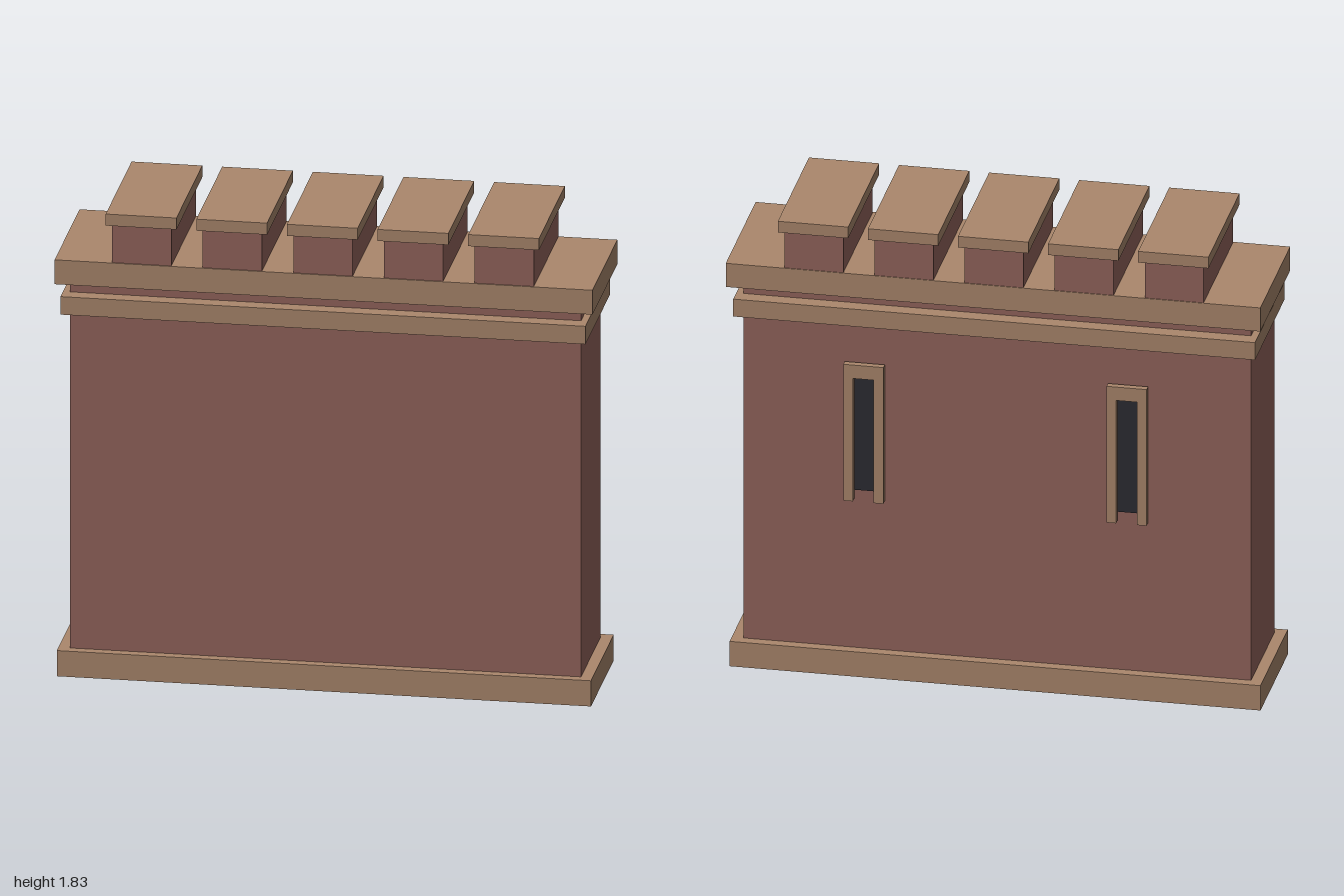
import * as THREE from 'three';

export function createModel() {
  const model = new THREE.Group();
  model.name = 'battlementWall';

  const mat = (name, color) => {
    const m = new THREE.MeshStandardMaterial({ color });
    m.name = name;
    return m;
  };
  const brick = mat('brick', 0x94655d);
  const stone = mat('stone', 0xab886d);
  const dark = mat('dark opening', 0x2c2d33);

  // Box from centre x, bottom and top y, centre z, width and depth
  const box = (parent, name, material, x, y0, y1, z, w, d) => {
    const mesh = new THREE.Mesh(new THREE.BoxGeometry(w, y1 - y0, d), material);
    mesh.position.set(x, (y0 + y1) / 2, z);
    mesh.name = name;
    parent.add(mesh);
  };

  const cx = -0.003;

  // Wall body with base and the two mouldings
  box(model, 'plinth', stone, cx, 0, 0.1, 0, 1.986, 0.506);
  box(model, 'wall', brick, cx, 0.1, 1.54, 0.002, 1.9, 0.43);
  box(model, 'stringCourse', stone, cx, 1.418, 1.488, 0.002, 1.952, 0.544);
  box(model, 'cornice', stone, 0, 1.537, 1.632, 0.002, 2, 0.554);

  // Row of capped merlons
  for (let i = -2; i <= 2; i++) {
    const merlon = new THREE.Group();
    merlon.name = 'merlon';
    merlon.position.x = cx + i * 0.337;
    box(merlon, 'merlonBlock', brick, 0, 1.632, 1.78, 0.001, 0.22, 0.546);
    box(merlon, 'merlonCap', stone, 0, 1.78, 1.825, 0, 0.263, 0.576);
    model.add(merlon);
  }

  // Narrow windows on the back: dark panel, two jambs and a lintel
  for (const x of [-0.495, 0.49]) {
    const slit = new THREE.Group();
    slit.name = 'slitWindow';
    slit.position.x = x;
    box(slit, 'windowPanel', dark, 0, 0.74, 1.23, -0.221, 0.09, 0.008);
    for (const s of [-1, 1]) {
      box(slit, 'jamb', stone, s * 0.057, 0.705, 1.2, -0.239, 0.036, 0.026);
    }
    box(slit, 'lintel', stone, 0, 1.2, 1.254, -0.239, 0.15, 0.026);
    model.add(slit);
  }

  return model;
}
